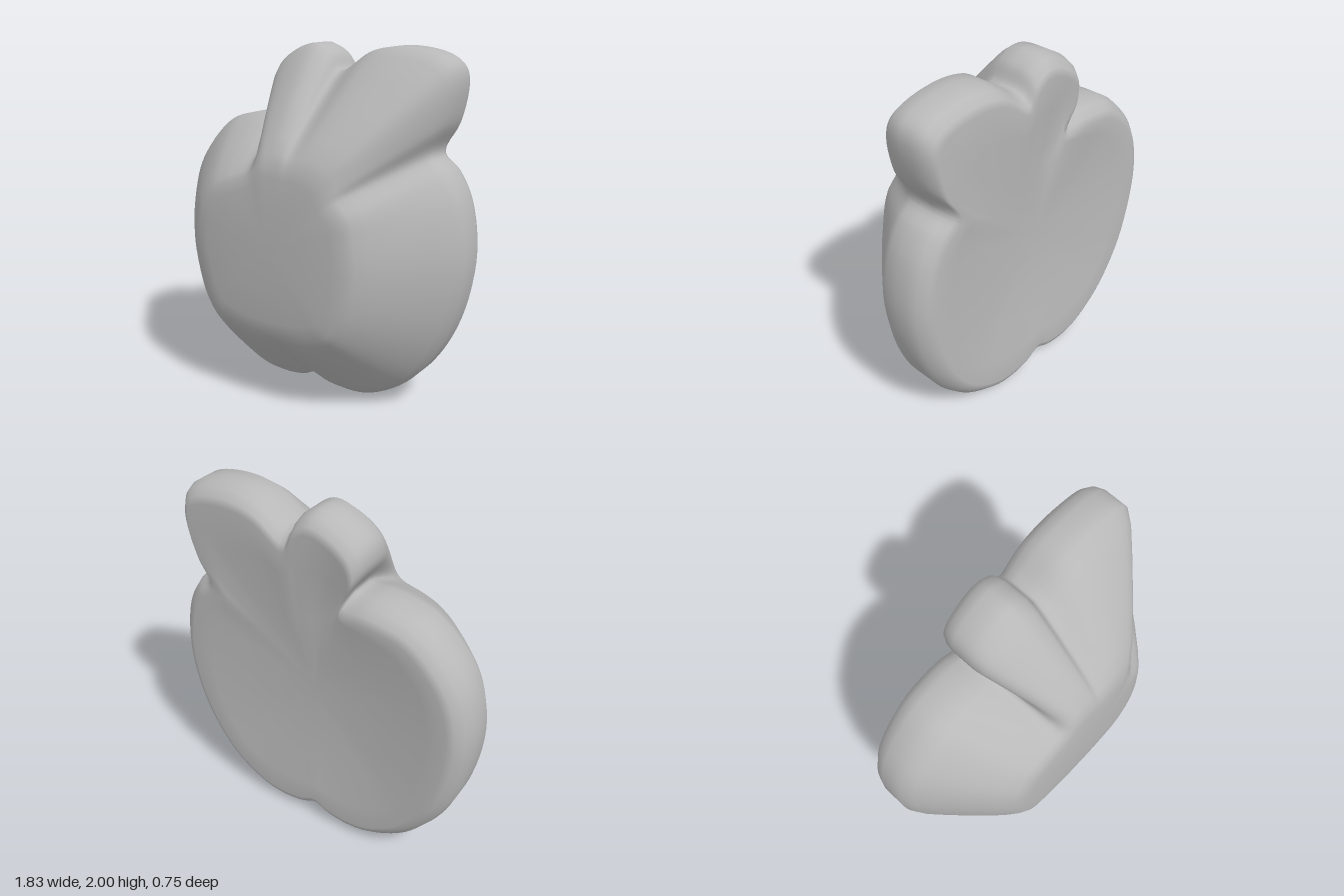
import * as THREE from 'three';
import { mergeVertices } from 'three/addons/utils/BufferGeometryUtils.js';

// Rim point (x, y) and the matching corner of the front plateau (x, y), counterclockwise from the bottom notch
const STATIONS = [
  [0, 0.06, 0, 0.47], [0.1, 0.02, 0.08, 0.47], [0.24, 0.005, 0.18, 0.48], [0.38, 0.03, 0.27, 0.5],
  [0.6, 0.16, 0.36, 0.53], [0.76, 0.36, 0.42, 0.61], [0.87, 0.62, 0.46, 0.73], [0.915, 0.93, 0.48, 0.9],
  [0.87, 1.22, 0.47, 1.05], [0.79, 1.37, 0.45, 1.16],
  // leaf
  [0.7, 1.46, 0.38, 1.24], [0.78, 1.63, 0.36, 1.28], [0.815, 1.84, 0.34, 1.32], [0.79, 1.92, 0.33, 1.34],
  [0.71, 1.97, 0.31, 1.36], [0.5, 2, 0.26, 1.39], [0.33, 1.97, 0.2, 1.4],
  // stem
  [0.14, 1.86, 0.12, 1.4], [0.08, 1.95, 0.08, 1.41], [-0.02, 2, 0.04, 1.41], [-0.17, 1.95, 0, 1.41],
  [-0.27, 1.86, -0.03, 1.41], [-0.285, 1.75, -0.06, 1.4],
  // shoulder and left side
  [-0.21, 1.6, -0.13, 1.34], [-0.34, 1.6, -0.22, 1.3], [-0.45, 1.59, -0.3, 1.27], [-0.61, 1.54, -0.38, 1.22],
  [-0.79, 1.37, -0.45, 1.13], [-0.88, 1.2, -0.48, 1.04], [-0.918, 0.95, -0.49, 0.9],
  [-0.87, 0.62, -0.46, 0.73], [-0.78, 0.39, -0.42, 0.61], [-0.6, 0.16, -0.36, 0.53],
  [-0.38, 0.03, -0.27, 0.5], [-0.24, 0.005, -0.18, 0.48], [-0.1, 0.02, -0.08, 0.47],
];

// Cross-section rings from back centre to front centre.
// inset: distance from the rim; slope: share of the way to the plateau; core: share from plateau to centre
const RINGS = [
  { core: 1, z: -0.32 }, { core: 0.5, z: -0.325 }, { slope: 1, z: -0.34 }, { slope: 0.5, z: -0.362 },
  { inset: 0.1, z: -0.372 }, { inset: 0.06, z: -0.355 }, { inset: 0.02, z: -0.315 }, { inset: 0, z: -0.26 },
  { inset: 0, z: -0.19 }, { inset: 0, z: -0.12 },
  { slope: 0.08, z: -0.06 }, { slope: 0.25, z: 0.03 }, { slope: 0.5, z: 0.155 }, { slope: 0.75, z: 0.27 },
  { slope: 0.9, z: 0.325 }, { slope: 1, z: 0.35 }, { core: 0.15, z: 0.363 }, { core: 0.5, z: 0.372 }, { core: 1, z: 0.376 },
];

function pillowGeometry(segments) {
  const closedCurve = (k) => new THREE.CatmullRomCurve3(
    STATIONS.map((s) => new THREE.Vector3(s[k], s[k + 1], 0)), true, 'centripetal');
  const rim = closedCurve(0);
  const plateau = closedCurve(2);
  const centre = new THREE.Vector3(0, 0.95, 0);
  const positions = [];
  const index = [];

  RINGS.forEach((ring, r) => {
    for (let i = 0; i < segments; i++) {
      const p = rim.getPoint(i / segments);
      const q = plateau.getPoint(i / segments);
      if (ring.core !== undefined) p.copy(q).lerp(centre, ring.core);
      else p.lerp(q, ring.slope ?? ring.inset / p.distanceTo(q));
      // shallow hollow behind the foot of the stem
      const hollow = ring.z < -0.3 ? 0.05 * Math.exp(-((p.x + 0.08) ** 2 + (p.y - 1.58) ** 2) / 0.02) : 0;
      positions.push(p.x, p.y, ring.z + hollow);
      if (r === RINGS.length - 1) continue;
      const a = r * segments + i;
      const b = r * segments + (i + 1) % segments;
      index.push(a, b, b + segments, a, b + segments, a + segments);
    }
  });

  let geometry = new THREE.BufferGeometry();
  geometry.setAttribute('position', new THREE.Float32BufferAttribute(positions, 3));
  geometry.setIndex(index);
  geometry = mergeVertices(geometry, 1e-5);
  geometry.computeVertexNormals();
  return geometry;
}

export function createModel() {
  const model = new THREE.Group();
  model.name = 'apple';
  const grey = new THREE.MeshStandardMaterial({ color: 0xb8b8b8 });
  grey.name = 'plain grey';

  // One continuous skin: fruit, stem and leaf
  const apple = new THREE.Mesh(pillowGeometry(STATIONS.length * 5), grey);
  apple.name = 'appleBodyWithStemAndLeaf';
  model.add(apple);
  return model;
}
